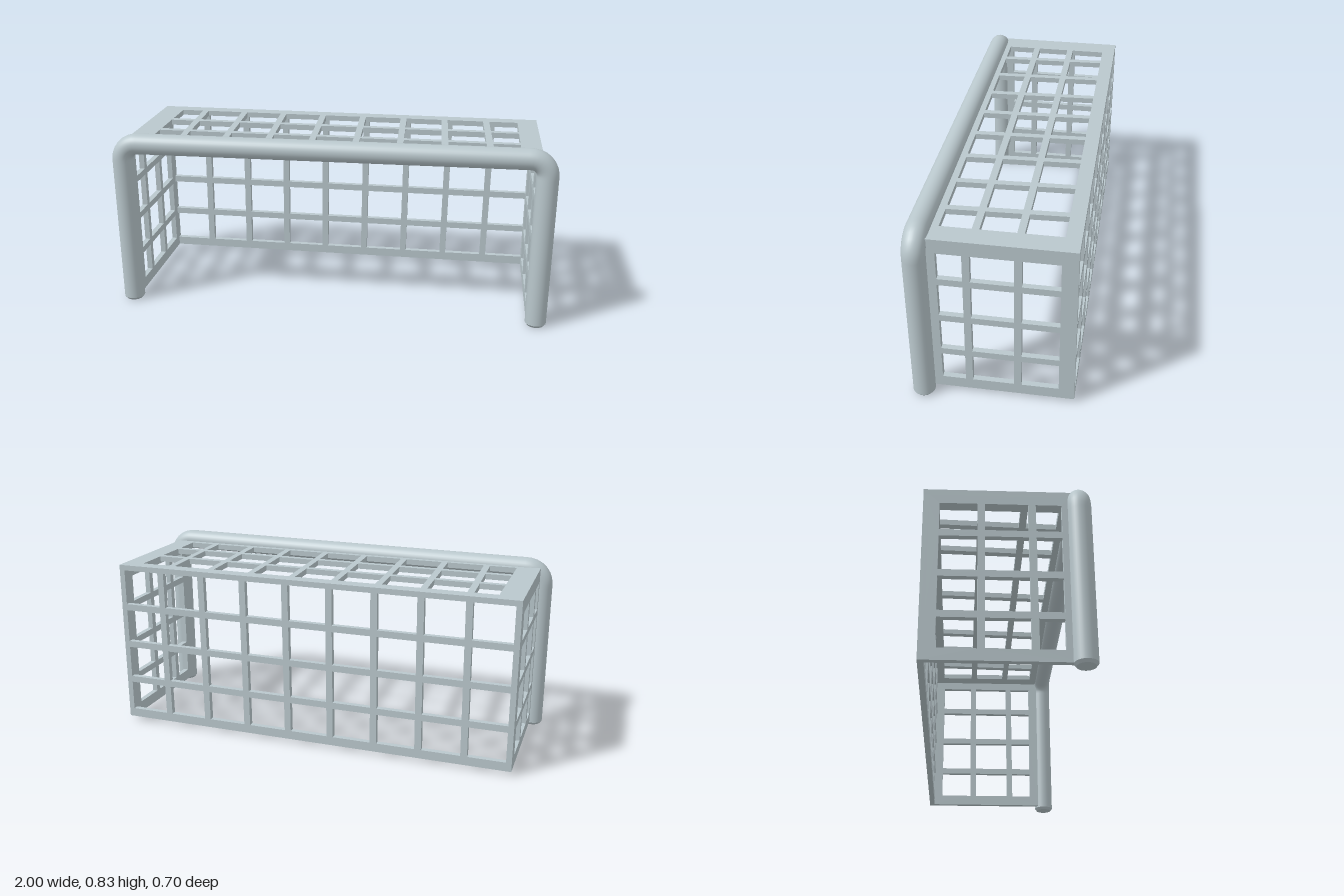
import * as THREE from 'three';

const steel = new THREE.MeshStandardMaterial({ color: 0xb9c7cc });
steel.name = 'pale steel';

const BAR = 0.03;    // width of the lattice bars
const DEPTH = 0.025; // thickness of the lattice panels

const evenly = (first, last, n) =>
  Array.from({ length: n }, (_, i) => first + ((last - first) * i) / (n - 1));

// Bar centres -> [start, end] of each opening
function openings(lo, hi, bars) {
  const starts = [lo, ...bars.map((b) => b + BAR / 2)];
  const ends = [...bars.map((b) => b - BAR / 2), hi];
  return starts.map((s, i) => [s, ends[i]]);
}

// Flat lattice: outer and inner are [u0, v0, u1, v1]; lean slants the v-running bars
function lattice(outer, inner, uBars, vBars, lean = 0) {
  const [u0, v0, u1, v1] = outer;
  const shape = new THREE.Shape([
    new THREE.Vector2(u0, v0), new THREE.Vector2(u1, v0),
    new THREE.Vector2(u1, v1), new THREE.Vector2(u0, v1),
  ]);
  const mid = (inner[1] + inner[3]) / 2;
  const us = openings(inner[0], inner[2], uBars);
  us.forEach(([a, b], i) => {
    const leanA = i === 0 ? 0 : lean;
    const leanB = i === us.length - 1 ? 0 : lean;
    for (const [c, d] of openings(inner[1], inner[3], vBars)) {
      shape.holes.push(new THREE.Path([
        new THREE.Vector2(a + leanA * (c - mid), c),
        new THREE.Vector2(a + leanA * (d - mid), d),
        new THREE.Vector2(b + leanB * (d - mid), d),
        new THREE.Vector2(b + leanB * (c - mid), c),
      ]));
    }
  });
  return new THREE.ExtrudeGeometry(shape, { depth: DEPTH, bevelEnabled: false });
}

function add(parent, name, geometry, x = 0, y = 0, z = 0) {
  const mesh = new THREE.Mesh(geometry, steel);
  mesh.name = name;
  mesh.position.set(x, y, z);
  parent.add(mesh);
  return mesh;
}

// Bent tube: two posts joined to the crossbar by round elbows
function goalFrame() {
  const frame = new THREE.Group();
  frame.name = 'goalFrame';
  const R = 0.0475, X = 0.952, BEND = 0.075, FOOT = 0.012;
  const at = (x, y) => new THREE.Vector3(x, y, 0.292 + 0.0105 * x);
  const barY = (x) => 0.781 + 0.006 * x;
  const k = BEND * 0.448;

  const elbow = (s) => [
    at(s * X, barY(s) - BEND), at(s * X, barY(s) - k),
    at(s * (X - k), barY(s)), at(s * (X - BEND), barY(s)),
  ];
  const l = elbow(-1), r = elbow(1);
  const path = new THREE.CurvePath();
  path.add(new THREE.LineCurve3(at(-X, FOOT), l[0]));
  path.add(new THREE.CubicBezierCurve3(...l));
  path.add(new THREE.LineCurve3(l[3], r[3]));
  path.add(new THREE.CubicBezierCurve3(...[...r].reverse()));
  path.add(new THREE.LineCurve3(r[0], at(X, FOOT)));
  add(frame, 'postsAndCrossbar', new THREE.TubeGeometry(path, 200, R, 32));

  // Bevelled ends of the posts
  for (const s of [-1, 1]) {
    const p = at(s * X, FOOT / 2);
    add(frame, s > 0 ? 'leftFoot' : 'rightFoot',
      new THREE.CylinderGeometry(R, R * 0.8, FOOT, 32), p.x, p.y, p.z);
  }
  return frame;
}

// Open box of lattice panels behind the frame
function net() {
  const box = new THREE.Group();
  box.name = 'net';
  const L = -0.943, R = 0.936, BOTTOM = 0.019, TOP = 0.785, BACK = -0.341, FRONT = 0.262;
  const heights = [0.215, 0.395, 0.58];
  const depths = [-0.105, 0.1];

  add(box, 'backPanel',
    lattice([L, BOTTOM, R, TOP], [L + 0.025, 0.06, R - 0.025, TOP - 0.025],
      evenly(-0.73, 0.718, 8), heights, 0.01), 0, 0, BACK);

  const top = lattice([L, BACK, R, FRONT], [-0.837, -0.278, 0.843, 0.218],
    evenly(-0.708, 0.702, 8), [-0.105, 0.073], 0.04);
  top.rotateX(Math.PI / 2);
  add(box, 'topPanel', top, 0, TOP, 0);

  const side = lattice([BACK, BOTTOM, FRONT, TOP], [-0.275, 0.07, 0.217, 0.72],
    depths, heights, -0.008);
  side.rotateY(-Math.PI / 2);
  add(box, 'leftPanel', side, R);
  add(box, 'rightPanel', side, L + DEPTH);

  box.rotation.y = -0.007;
  return box;
}

export function createModel() {
  const model = new THREE.Group();
  model.name = 'goal';
  model.add(goalFrame(), net());
  return model;
}
